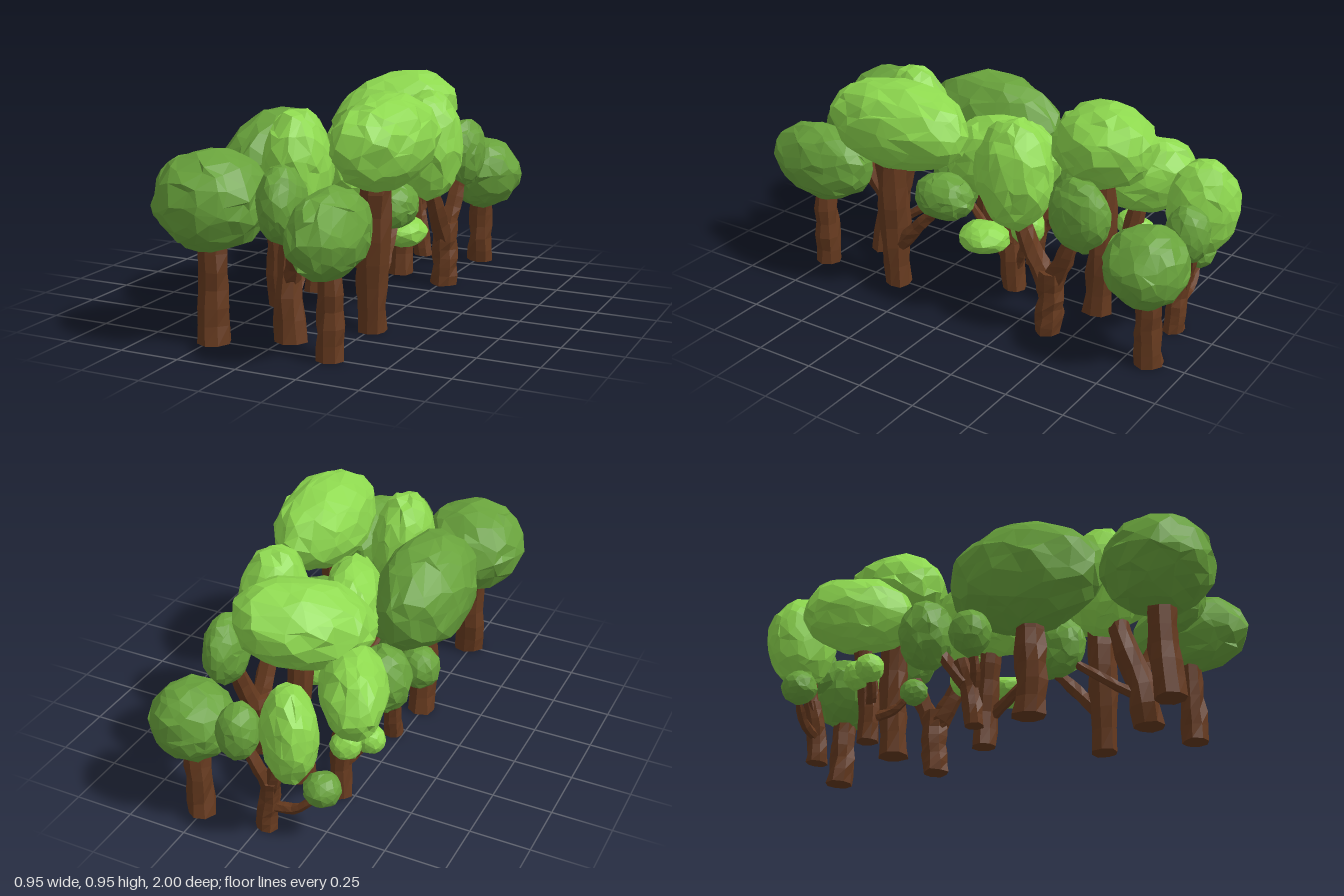
import * as THREE from 'three';
import { mergeVertices } from 'three/addons/utils/BufferGeometryUtils.js';

const material = (color) => new THREE.MeshStandardMaterial({ color, flatShading: true, side: THREE.DoubleSide });

export function createModel() {
  const group = new THREE.Group();
  const bark = material(0x663a1f), light = material(0x8ed94f), dark = material(0x69a33c);

  // Small seeded generator for the irregular facets
  let seed = 7;
  const rand = () => (seed = (seed * 16807) % 2147483647) / 2147483647;
  const v = (p) => new THREE.Vector3(...p);

  // Faceted crown: icosphere with vertices shifted at random, stretched to an ellipsoid
  function crown(tree, mat, center, radii, yaw = 0, roll = 0) {
    const ball = new THREE.IcosahedronGeometry(1, Math.max(...radii) > 0.12 ? 3 : 2);
    ball.deleteAttribute('normal');
    ball.deleteAttribute('uv');
    const geo = mergeVertices(ball), pos = geo.attributes.position, p = new THREE.Vector3();
    const shift = () => (rand() - 0.5) * 0.24;
    for (let i = 0; i < pos.count; i++) {
      p.fromBufferAttribute(pos, i);
      p.set(p.x + shift(), p.y + shift(), p.z + shift()).setLength(0.96 + rand() * 0.09);
      pos.setXYZ(i, p.x * radii[0], p.y * radii[1], p.z * radii[2]);
    }
    const mesh = new THREE.Mesh(geo, mat);
    mesh.name = 'crown';
    mesh.position.set(...center);
    mesh.rotation.set(0, yaw, roll);
    tree.add(mesh);
  }

  // Knobbly tapering limb with closed ends, swept along a curve
  function limb(tree, name, path, r0, r1, sides = 8) {
    const curve = new THREE.CatmullRomCurve3(path.map(v)), n = 9;
    const geo = new THREE.TubeGeometry(curve, n, 1, sides), pos = geo.attributes.position;
    const p = new THREE.Vector3();
    for (let i = 0; i <= n; i++) {
      const t = THREE.MathUtils.clamp((i - 1) / (n - 2), 0, 1);
      const from = curve.getPointAt(i / n), to = curve.getPointAt(t);
      const knobs = Array.from({ length: sides }, () => 0.84 + rand() * 0.28);
      for (let j = 0; j <= sides; j++) {
        const k = i * (sides + 1) + j;
        const r = i === 0 || i === n ? 0 : THREE.MathUtils.lerp(r0, r1, t) * knobs[j % sides];
        p.fromBufferAttribute(pos, k).sub(from).multiplyScalar(r).add(to);
        pos.setXYZ(k, p.x, i < 2 && name === 'trunk' ? to.y : p.y, p.z);
      }
    }
    const mesh = new THREE.Mesh(geo, bark);
    mesh.name = name;
    tree.add(mesh);
  }

  // Each tree: trunk [path, base radius, top radius], branches, crowns [material, center, radii, yaw, roll]
  const trees = {
    frontRightTree: {
      trunk: [[[-0.235, 0, 0.76], [-0.24, 0.2, 0.75], [-0.24, 0.5, 0.75]], 0.066, 0.06],
      crowns: [[dark, [-0.24, 0.56, 0.74], [0.225, 0.198, 0.23]]],
    },
    frontLeftTree: {
      trunk: [[[0.262, 0, 0.75], [0.265, 0.2, 0.75], [0.262, 0.45, 0.75]], 0.056, 0.05],
      crowns: [[dark, [0.265, 0.485, 0.755], [0.133, 0.17, 0.245]]],
    },
    frontMiddleTree: {
      trunk: [[[0.025, 0, 0.61], [0.01, 0.15, 0.6], [-0.01, 0.35, 0.54], [-0.02, 0.55, 0.48]], 0.066, 0.045],
      branches: [
        [[[0.01, 0.22, 0.59], [0.05, 0.32, 0.63], [0.07, 0.5, 0.71]], 0.036, 0.026],
        [[[0.01, 0.13, 0.58], [-0.01, 0.19, 0.48], [-0.04, 0.31, 0.31]], 0.024, 0.018],
      ],
      crowns: [
        [light, [-0.02, 0.645, 0.46], [0.133, 0.24, 0.165]],
        [dark, [0.065, 0.57, 0.745], [0.09, 0.152, 0.125]],
        [dark, [-0.04, 0.37, 0.27], [0.085, 0.13, 0.11]],
      ],
    },
    leftTallTree: {
      trunk: [[[0.262, 0, 0.37], [0.265, 0.3, 0.37], [0.28, 0.66, 0.37]], 0.058, 0.07],
      branches: [[[[0.27, 0.2, 0.34], [0.265, 0.3, 0.25], [0.25, 0.42, 0.14]], 0.038, 0.024]],
      crowns: [
        [light, [0.29, 0.76, 0.315], [0.18, 0.19, 0.33], 0, -0.5],
        [dark, [0.24, 0.46, 0.13], [0.1, 0.1, 0.135]],
      ],
    },
    rightTree: {
      trunk: [[[-0.235, 0, 0.2], [-0.235, 0.2, 0.21], [-0.24, 0.5, 0.2]], 0.068, 0.06],
      crowns: [[dark, [-0.245, 0.6, 0.195], [0.193, 0.238, 0.325]]],
    },
    centerTree: {
      trunk: [[[0.03, 0, -0.08], [0.03, 0.2, -0.07], [0.01, 0.5, -0.04]], 0.052, 0.05],
      branches: [
        [[[0.03, 0.14, -0.04], [0, 0.2, 0.05], [-0.03, 0.33, 0.2]], 0.026, 0.016],
        [[[0.04, 0.12, -0.1], [0.05, 0.2, -0.14], [0.07, 0.33, -0.17]], 0.024, 0.016],
        [[[0.04, 0.21, -0.07], [0.11, 0.26, -0.07], [0.21, 0.31, -0.06]], 0.024, 0.016],
      ],
      crowns: [
        [light, [0, 0.58, -0.01], [0.25, 0.19, 0.13], -1.2],
        [light, [0.21, 0.31, -0.05], [0.1, 0.065, 0.11]],
        [light, [0.085, 0.34, -0.18], [0.07, 0.08, 0.075]],
      ],
    },
    rightSmallTree: {
      trunk: [[[-0.21, 0, -0.04], [-0.21, 0.12, -0.05], [-0.23, 0.28, -0.09]], 0.042, 0.035],
      branches: [
        [[[-0.225, 0.18, -0.07], [-0.23, 0.26, -0.13], [-0.24, 0.4, -0.22]], 0.034, 0.024],
        [[[-0.21, 0.17, -0.04], [-0.25, 0.23, -0.02], [-0.29, 0.36, -0.03]], 0.026, 0.018],
      ],
      crowns: [
        [dark, [-0.245, 0.41, -0.235], [0.12, 0.15, 0.115]],
        [dark, [-0.31, 0.36, -0.02], [0.09, 0.1, 0.085]],
      ],
    },
    backForkedTree: {
      trunk: [[[0.26, 0, -0.39], [0.26, 0.15, -0.4], [0.26, 0.28, -0.4]], 0.06, 0.055],
      branches: [
        [[[0.26, 0.2, -0.4], [0.255, 0.34, -0.31], [0.25, 0.52, -0.23]], 0.05, 0.03],
        [[[0.26, 0.2, -0.4], [0.27, 0.34, -0.46], [0.29, 0.52, -0.53]], 0.048, 0.03],
      ],
      crowns: [
        [light, [0.25, 0.65, -0.22], [0.142, 0.235, 0.165]],
        [dark, [0.295, 0.575, -0.54], [0.085, 0.15, 0.13]],
      ],
    },
    backTallTree: {
      trunk: [[[0.01, 0, -0.48], [0.01, 0.25, -0.49], [-0.01, 0.66, -0.48]], 0.064, 0.055],
      crowns: [[light, [-0.015, 0.745, -0.475], [0.29, 0.172, 0.205], 0.75, 0.25]],
    },
    backRightTree: {
      trunk: [[[-0.19, 0, -0.51], [-0.19, 0.2, -0.51], [-0.25, 0.48, -0.54]], 0.048, 0.04],
      branches: [
        [[[-0.19, 0.1, -0.48], [-0.175, 0.13, -0.4], [-0.165, 0.2, -0.33]], 0.024, 0.016],
        [[[-0.2, 0.15, -0.5], [-0.25, 0.2, -0.47], [-0.3, 0.27, -0.46]], 0.024, 0.016],
      ],
      crowns: [
        [light, [-0.26, 0.54, -0.535], [0.24, 0.165, 0.135], -1.1],
        [dark, [-0.165, 0.2, -0.32], [0.05, 0.055, 0.06]],
        [light, [-0.23, 0.28, -0.54], [0.065, 0.065, 0.065]],
        [light, [-0.3, 0.275, -0.46], [0.06, 0.06, 0.06]],
      ],
    },
    backLeftTree: {
      trunk: [[[0.262, 0, -0.85], [0.265, 0.15, -0.84], [0.27, 0.4, -0.84]], 0.06, 0.05],
      crowns: [[dark, [0.28, 0.43, -0.83], [0.17, 0.163, 0.168]]],
    },
    backMiddleTree: {
      trunk: [[[-0.02, 0, -0.82], [-0.04, 0.15, -0.82], [-0.06, 0.26, -0.84]], 0.046, 0.04],
      branches: [
        [[[-0.05, 0.2, -0.83], [-0.09, 0.33, -0.85], [-0.145, 0.5, -0.86]], 0.036, 0.025],
        [[[-0.05, 0.2, -0.83], [-0.02, 0.33, -0.87], [0.04, 0.46, -0.89]], 0.034, 0.022],
        [[[-0.04, 0.11, -0.82], [-0.15, 0.13, -0.82], [-0.25, 0.22, -0.81]], 0.026, 0.016],
      ],
      crowns: [
        [light, [-0.155, 0.51, -0.855], [0.15, 0.2, 0.11], -0.95],
        [dark, [0.045, 0.48, -0.885], [0.085, 0.12, 0.09]],
        [dark, [-0.26, 0.25, -0.8], [0.075, 0.07, 0.075]],
      ],
    },
  };

  for (const [name, { trunk, branches = [], crowns }] of Object.entries(trees)) {
    const tree = new THREE.Group();
    tree.name = name;
    limb(tree, 'trunk', ...trunk);
    for (const b of branches) limb(tree, 'branch', ...b, 6);
    for (const c of crowns) crown(tree, ...c);
    group.add(tree);
  }
  return group;
}
